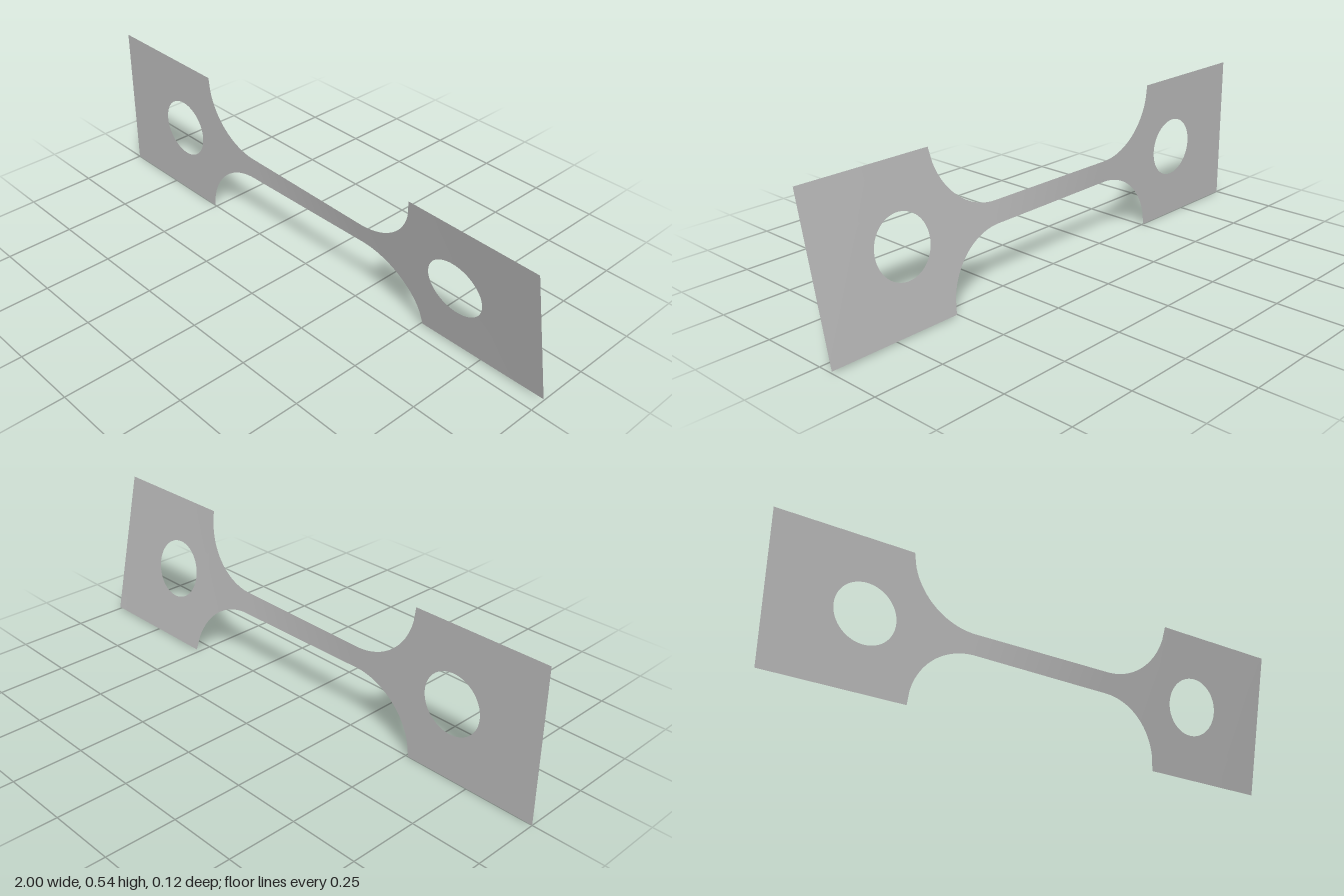
import * as THREE from 'three';

const HALF = 0.272;                        // half height of the grips
const NECK = 0.039;                        // half height of the neck
const NECK_X = 0.27, GRIP_X = 0.51;        // where the fillets start and end
const FILLET = 0.24;
const HOLE_X = 0.67, HOLE_R = 0.108;

// Twist angle along the bar: flat left grip, most of the turn in the neck
function twist(x) {
  const deg = x < -NECK_X ? 0
    : x < NECK_X ? 11 * (x + NECK_X) / (2 * NECK_X)
    : 11 + 1.4 * (x - NECK_X) / (1 - NECK_X);
  return THREE.MathUtils.degToRad(deg);
}

// Half height of the bar between the grips
function halfHeight(x) {
  const d = Math.max(0, Math.abs(x) - NECK_X);
  return Math.min(HALF, NECK + FILLET - Math.sqrt(Math.max(0, FILLET * FILLET - d * d)));
}

// Grid sheet placed by a rule (u, v) -> [x, y], then twisted about the x axis
function sheet(name, material, nu, nv, rule) {
  const geo = new THREE.PlaneGeometry(1, 1, nu, nv);
  const p = geo.attributes.position;
  for (let i = 0; i < p.count; i++) {
    const [x, y] = rule(p.getX(i) + 0.5, p.getY(i) + 0.5);
    const a = twist(x);
    p.setXYZ(i, x, HALF + y * Math.cos(a), y * Math.sin(a));
  }
  geo.computeVertexNormals();
  const mesh = new THREE.Mesh(geo, material);
  mesh.name = name;
  return mesh;
}

// Grip plate: rings blending from the round hole to the rectangular border
function gripRule(side) {
  const corners = [[GRIP_X, -HALF], [GRIP_X, HALF], [1, HALF], [1, -HALF]];
  return (u, v) => {
    const t = u * 4, k = Math.min(3, Math.floor(t + 1e-6)), f = t - k;
    const a = corners[k], b = corners[(k + 1) % 4];
    const dx = a[0] + (b[0] - a[0]) * f - HOLE_X;
    const dy = a[1] + (b[1] - a[1]) * f;
    const s = THREE.MathUtils.lerp(HOLE_R / Math.hypot(dx, dy), 1, v);
    return [side * (HOLE_X + dx * s), side * dy * s];
  };
}

export function createModel() {
  const group = new THREE.Group();
  group.name = 'twistedTestStrip';
  const steel = new THREE.MeshStandardMaterial({ color: 0xb4b4b4, side: THREE.DoubleSide });
  steel.name = 'steelGrey';

  // Neck with its four fillets
  group.add(sheet('neck', steel, 136, 6, (u, v) => {
    const x = GRIP_X * (2 * u - 1);
    return [x, halfHeight(x) * (2 * v - 1)];
  }));

  // Grips with holes
  group.add(sheet('leftGrip', steel, 96, 4, gripRule(1)));
  group.add(sheet('rightGrip', steel, 96, 4, gripRule(-1)));
  return group;
}
